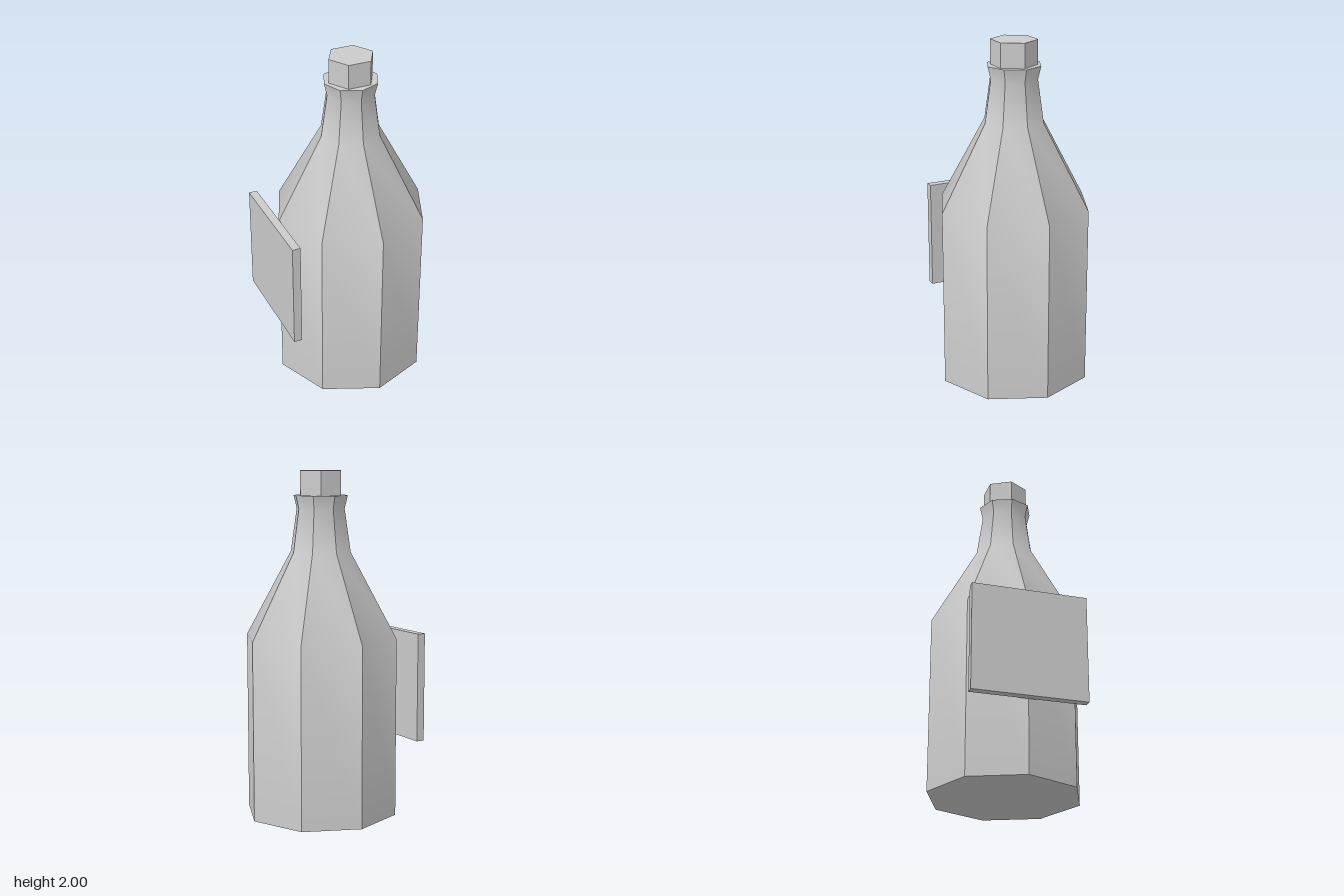
import * as THREE from 'three';
import { toCreasedNormals } from 'three/addons/utils/BufferGeometryUtils.js';

const AXIS_X = 0.04, AXIS_Z = -0.086;
const rad = THREE.MathUtils.degToRad;

export function createModel() {
  const group = new THREE.Group();
  const grey = new THREE.MeshStandardMaterial({ color: 0xcccccc });
  grey.name = 'light grey';

  const add = (name, geometry, x, y, z) => {
    const mesh = new THREE.Mesh(geometry, grey);
    mesh.name = name;
    mesh.position.set(x, y, z);
    group.add(mesh);
    return mesh;
  };

  // Eight-sided bottle: radius and height from the base point up to the closed rim
  const profile = [
    [0, 0], [0.436, 0.055], [0.436, 1.07], [0.173, 1.55],
    [0.138, 1.79], [0.156, 1.863], [0, 1.863],
  ].map(([r, y]) => new THREE.Vector2(r, y));
  const bottle = new THREE.LatheGeometry(profile, 8, rad(22.5));

  // The wide body is turned very slightly against the neck
  const p = bottle.attributes.position;
  const v = new THREE.Vector3();
  const up = new THREE.Vector3(0, 1, 0);
  for (let i = 0; i < p.count; i++) {
    v.fromBufferAttribute(p, i);
    if (v.y < 1.2) v.applyAxisAngle(up, rad(0.7));
    p.setXYZ(i, v.x, v.y, v.z);
  }
  // Soft along the profile, sharp between the eight sides
  add('bottle', toCreasedNormals(bottle, rad(34)), AXIS_X, 0, AXIS_Z);

  // Six-sided stopper standing on the rim
  const stopper = toCreasedNormals(new THREE.CylinderGeometry(0.13, 0.13, 0.14, 6), rad(30));
  add('stopper', stopper, AXIS_X, 1.93, AXIS_Z).rotation.y = rad(38.5);

  // Flat label board leaning against the front left edge
  add('label', new THREE.BoxGeometry(0.655, 0.618, 0.047), -0.135, 0.781, 0.342).rotation.y = rad(-21.9);

  return group;
}
